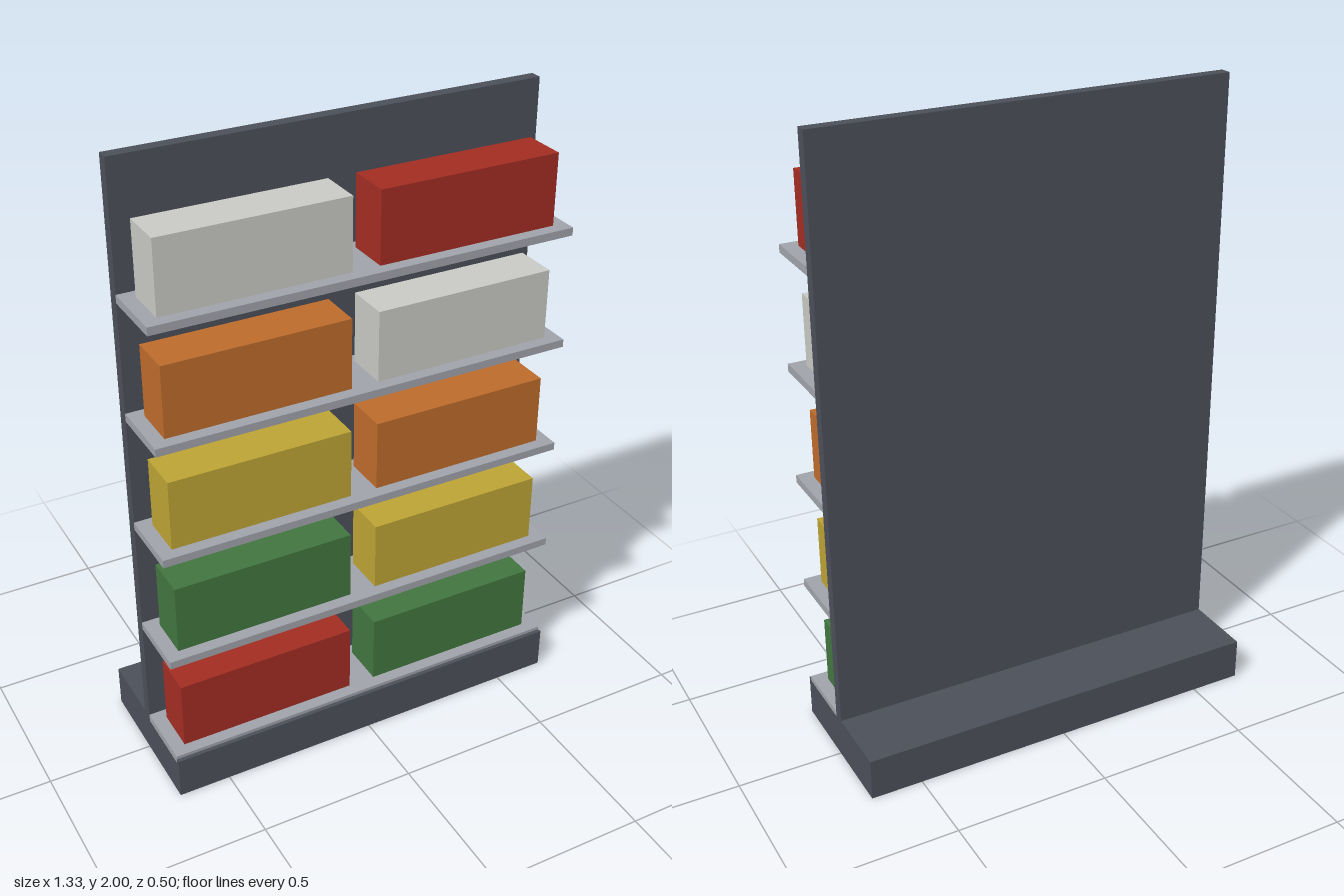
import * as THREE from 'three';

const paint = (name, color) => {
  const m = new THREE.MeshStandardMaterial({ color });
  m.name = name;
  return m;
};

export function createModel() {
  const frame = paint('dark grey frame', 0x4b4f58);
  const steel = paint('light grey shelf', 0x9fa2a9);
  const goods = [
    paint('red goods', 0xa22c22),
    paint('green goods', 0x41753f),
    paint('yellow goods', 0xbca334),
    paint('orange goods', 0xbd6b2b),
    paint('white goods', 0xc8c8c4),
  ];

  const model = new THREE.Group();
  model.name = 'storeShelf';

  // Box given by its size and the centre of its underside
  const box = (name, material, w, h, d, x, y, z) => {
    const mesh = new THREE.Mesh(new THREE.BoxGeometry(w, h, d), material);
    mesh.name = name;
    mesh.position.set(x, y + h / 2, z);
    model.add(mesh);
  };

  // Plinth and upright back panel
  const width = 1.332;
  box('base', frame, width, 0.136, 0.495, 0, 0, 0);
  box('backPanel', frame, width, 1.864, 0.038, 0, 0.136, 0);

  // Five shelves, each carrying two blocks of goods in shifted colours
  const thickness = 0.025;
  for (let i = 0; i < 5; i++) {
    const top = 0.147 + i * 0.3665;
    box(`shelf${i + 1}`, steel, width, thickness, 0.215, 0, top - thickness, 0.1265);
    [-1, 1].forEach((side, j) => {
      const name = `${side < 0 ? 'right' : 'left'}Goods${i + 1}`;
      box(name, goods[(i + j) % 5], 0.579, 0.224, 0.141, side * 0.333, top, 0.1245);
    });
  }
  // The top row wraps round to red on the model's left
  return model;
}
